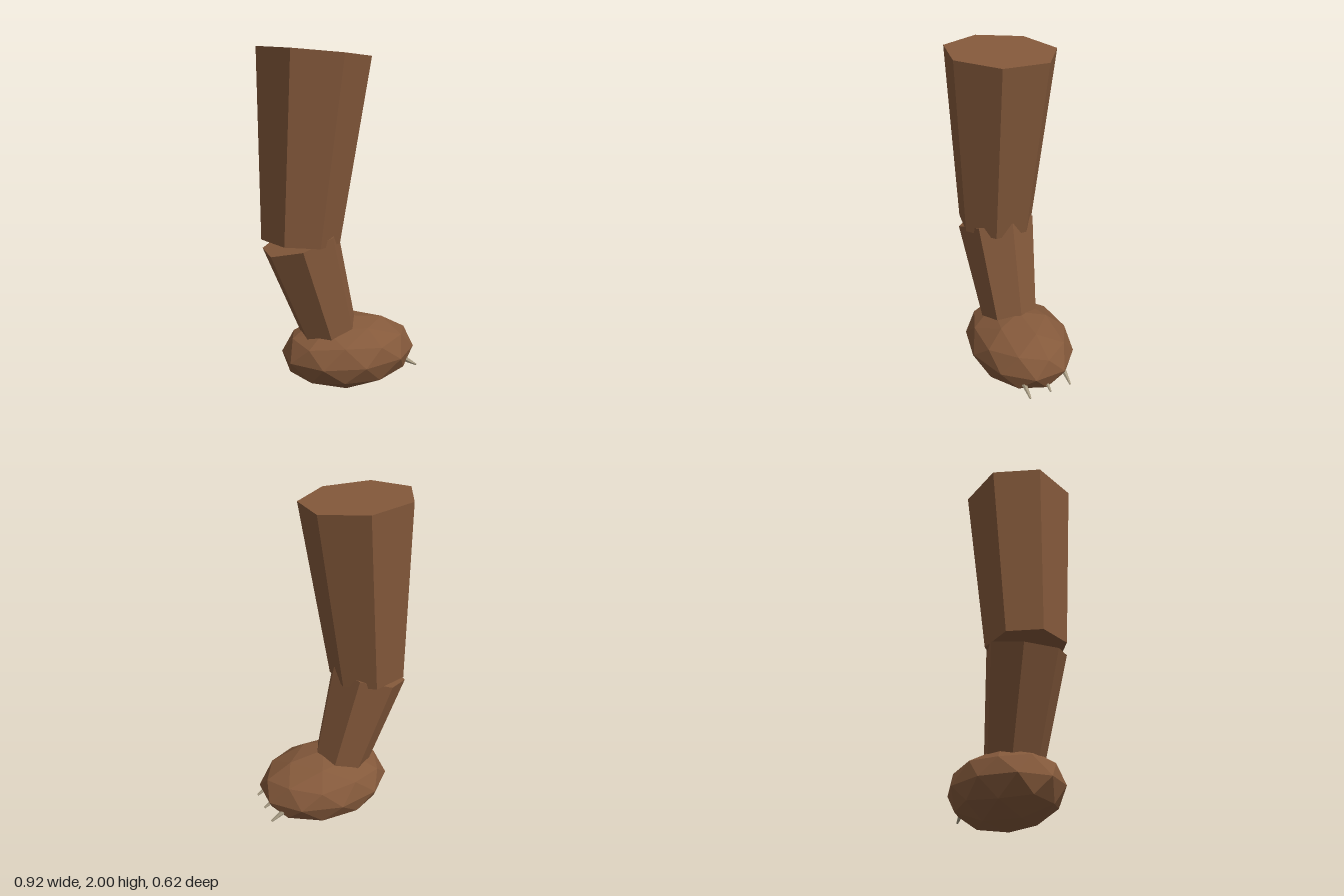
import * as THREE from 'three';

const skin = new THREE.MeshStandardMaterial({ color: 0x84593b, flatShading: true });
const horn = new THREE.MeshStandardMaterial({ color: 0xa89c84, flatShading: true });

// Tapered prism between two points [x, y] in the side plane; phase turns its first corner
function limb(name, top, bottom, rTop, rBottom, sides, phase, material) {
  const dx = top[0] - bottom[0], dy = top[1] - bottom[1];
  const geometry = new THREE.CylinderGeometry(rTop, rBottom, Math.hypot(dx, dy), sides, 1, false, phase);
  const mesh = new THREE.Mesh(geometry, material);
  mesh.name = name;
  mesh.position.set((top[0] + bottom[0]) / 2, (top[1] + bottom[1]) / 2, 0);
  mesh.rotation.z = Math.atan2(-dx, dy);
  return mesh;
}

export function createModel() {
  const model = new THREE.Group();
  model.name = 'leg';

  // Thigh and shin meet at the knee
  const knee = [-0.233, 0.933];
  model.add(limb('thigh', [-0.145, 1.974], knee, 0.317, 0.228, 7, -Math.PI / 2, skin));
  model.add(limb('shin', knee, [-0.02, 0.22], 0.23, 0.156, 7, Math.PI / 2, skin));

  // Foot: faceted ball standing on a corner, stretched towards the toes
  const ball = new THREE.IcosahedronGeometry(1, 1);
  ball.rotateX(-Math.atan((1 + Math.sqrt(5)) / 2));
  ball.rotateY(Math.PI / 2);
  ball.scale(0.41, 0.214, 0.307);
  const foot = new THREE.Mesh(ball, skin);
  foot.name = 'foot';
  foot.position.set(0.06, 0.217, 0);
  model.add(foot);

  // Three blunt claws
  const claws = new THREE.Group();
  claws.name = 'claws';
  for (const z of [-0.135, 0, 0.135]) {
    const claw = limb('claw', [0.375, 0.159], [0.455, 0.107], 0.017, 0.006, 6, 0, horn);
    claw.position.z = z;
    claws.add(claw);
  }
  model.add(claws);

  return model;
}
